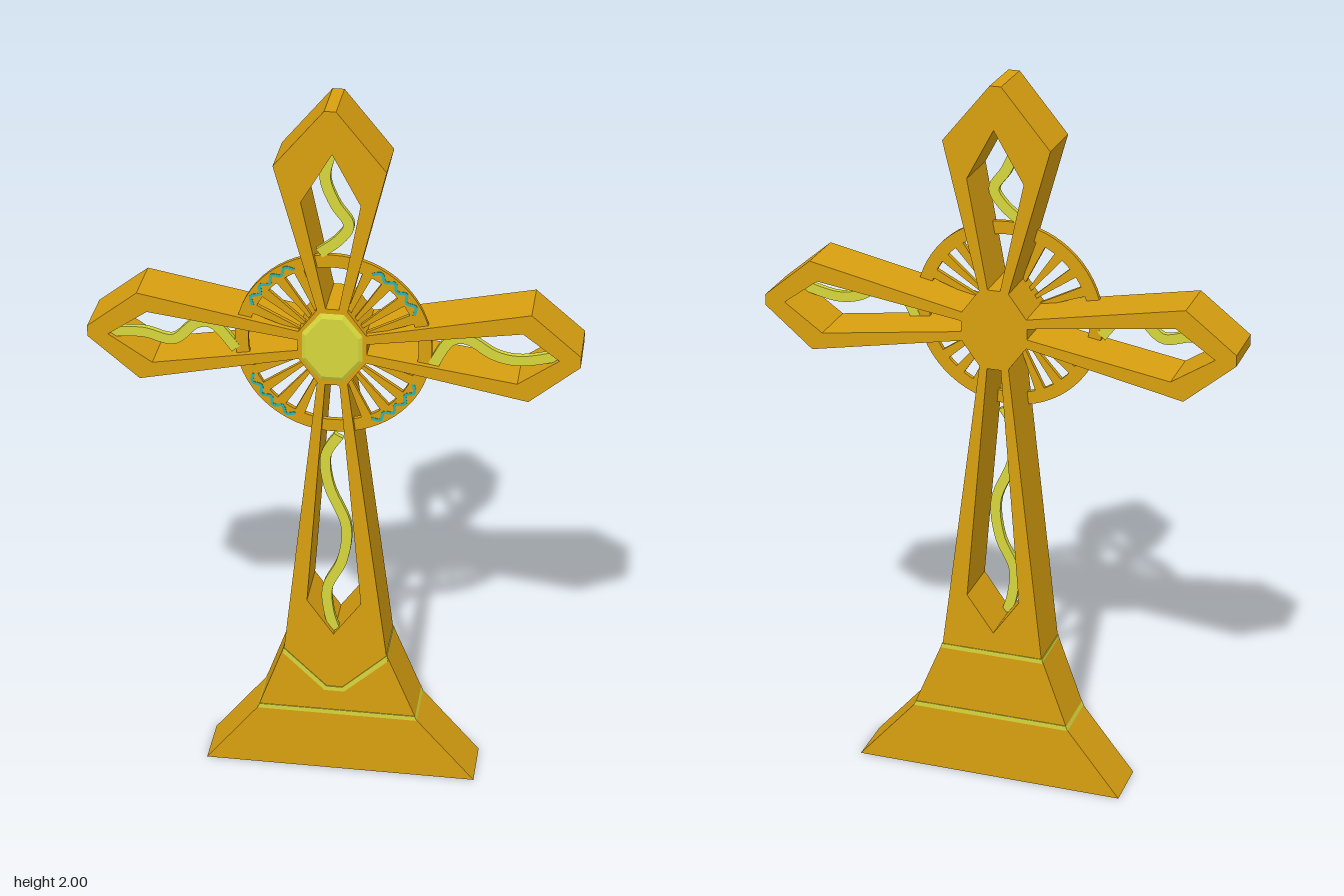
import * as THREE from 'three';

const gold = new THREE.MeshStandardMaterial({ color: 0xd9a010 });
const yellow = new THREE.MeshStandardMaterial({ color: 0xd6d63c });
const teal = new THREE.MeshStandardMaterial({ color: 0x2fb5b0 });

const HALF = 0.074; // half the depth of the body
const CY = 1.345; // height of the crossing
const vecs = (pts) => pts.map(([x, y]) => new THREE.Vector2(x, y));

export function createModel() {
  const group = new THREE.Group();

  // Extrude an outline (with optional holes) from z0 to z1
  function slab(name, outline, z0, z1, material, holes = []) {
    const shape = Array.isArray(outline) ? new THREE.Shape(vecs(outline)) : outline;
    for (const h of holes) shape.holes.push(new THREE.Path(vecs(h)));
    const geo = new THREE.ExtrudeGeometry(shape, { depth: z1 - z0, bevelEnabled: false, curveSegments: 32 });
    geo.translate(0, 0, z0);
    const mesh = new THREE.Mesh(geo, material);
    mesh.name = name;
    group.add(mesh);
    return mesh;
  }

  // Flat ribbon of constant width following a smooth curve
  function ribbon(name, pts, width, z0, z1, material) {
    const curve = new THREE.SplineCurve(vecs(pts));
    const a = [], b = [], n = 36;
    for (let i = 0; i <= n; i++) {
      const p = curve.getPoint(i / n), t = curve.getTangent(i / n);
      a.push([p.x - t.y * width / 2, p.y + t.x * width / 2]);
      b.unshift([p.x + t.y * width / 2, p.y - t.x * width / 2]);
    }
    slab(name, [...a, ...b], z0, z1, material);
  }

  // Cross body: four flared, pointed arms, each pierced by a kite-shaped opening
  slab('crossBody', [
    [-0.135, 0.395], [0.15, 0.395], [0.04, 1.24], [0.088, 1.305],
    [0.51, 1.225], [0.64, 1.335], [0.64, 1.365], [0.51, 1.475],
    [0.088, 1.385], [0.04, 1.45], [0.137, 1.845], [0.01, 2], [-0.02, 2],
    [-0.15, 1.845], [-0.04, 1.45], [-0.088, 1.385],
    [-0.51, 1.465], [-0.645, 1.36], [-0.645, 1.33], [-0.51, 1.215],
    [-0.088, 1.305], [-0.04, 1.24],
  ], -HALF, HALF, gold, [
    [[0.003, 0.455], [0.078, 0.56], [0.019, 1.235], [-0.019, 1.235], [-0.07, 0.56]],
    [[0, 1.885], [0.072, 1.75], [0.017, 1.455], [-0.017, 1.455], [-0.08, 1.75]],
    [[-0.59, 1.34], [-0.485, 1.412], [-0.09, 1.36], [-0.09, 1.33], [-0.475, 1.265]],
    [[0.585, 1.35], [0.49, 1.42], [0.09, 1.36], [0.09, 1.33], [0.48, 1.275]],
  ]);

  // Pedestal in two tiers
  slab('lowerBase', [[-0.36, 0], [0.4, 0], [0.235, 0.19], [-0.21, 0.19]], -HALF, HALF, gold);
  slab('upperBase', [[-0.207, 0.2], [0.232, 0.2], [0.152, 0.395], [-0.137, 0.395]], -HALF, HALF, gold);

  // Inlaid bands: straight round the sides, V-shaped on the front
  slab('lowerBand', [[-0.212, 0.188], [0.237, 0.188], [0.231, 0.202], [-0.206, 0.202]], -0.076, 0.076, yellow);
  slab('upperBand', [[-0.14, 0.385], [0.155, 0.385], [0.152, 0.398], [-0.137, 0.398]], -0.076, 0.07, yellow);
  slab('frontVBand', [
    [-0.137, 0.38], [-0.022, 0.267], [0.033, 0.267], [0.154, 0.38],
    [0.151, 0.398], [0.028, 0.281], [-0.016, 0.281], [-0.136, 0.398],
  ], 0.07, 0.0765, yellow);

  // Faceted hub plate on the crossing: a low eight-sided frustum
  const rim = [[0.033, 1.24], [0.086, 1.305], [0.086, 1.385], [0.033, 1.45],
    [-0.033, 1.45], [-0.086, 1.385], [-0.086, 1.305], [-0.033, 1.24]];
  const hub = slab('hubPlate', rim, 0.07, 0.08, yellow);
  const hp = hub.geometry.attributes.position;
  for (let i = 0; i < hp.count; i++) {
    if (hp.getZ(i) > 0.075) hp.setXY(i, hp.getX(i) * 0.8, CY + (hp.getY(i) - CY) * 0.8);
  }
  hub.geometry.computeVertexNormals();

  // Thin ring behind the front face
  const ring = new THREE.Shape();
  ring.absarc(0, CY, 0.257, 0, Math.PI * 2, false);
  const bore = new THREE.Path();
  bore.absarc(0, CY, 0.222, 0, Math.PI * 2, true);
  ring.holes.push(bore);
  slab('ring', ring, 0.046, 0.059, gold);

  // Tapered spokes and teal ring inlays, repeated in each quadrant
  const polar = (r, a) => [r * Math.cos(a), CY + r * Math.sin(a)];
  for (let q = 0; q < 4; q++) {
    const mid = Math.PI / 4 + q * Math.PI / 2;
    for (const off of [-0.38, -0.127, 0.127, 0.38]) {
      const a = mid + off;
      slab('spoke', [polar(0.09, a - 0.05), polar(0.225, a - 0.06), polar(0.225, a + 0.06), polar(0.09, a + 0.05)],
        0.046, 0.059, gold);
    }
    const zigzag = [];
    for (let i = 0; i <= 8; i++) zigzag.push(polar(i % 2 ? 0.247 : 0.232, mid + (i - 4) * 0.085));
    ribbon('ringInlay', zigzag, 0.008, 0.057, 0.0605, teal);
  }

  // Wavy vines inside the four openings
  const vines = [
    [[0.015, 1.075], [-0.02, 1.01], [-0.01, 0.915], [0.035, 0.8], [0.025, 0.69], [-0.015, 0.6], [-0.012, 0.52], [0.005, 0.46]],
    [[-0.005, 1.885], [-0.02, 1.815], [0.005, 1.745], [0.04, 1.69], [0.015, 1.645], [-0.035, 1.605]],
    [[-0.585, 1.34], [-0.5, 1.345], [-0.42, 1.33], [-0.36, 1.38], [-0.31, 1.38], [-0.255, 1.315]],
    [[0.26, 1.305], [0.3, 1.375], [0.35, 1.385], [0.42, 1.345], [0.49, 1.335], [0.58, 1.355]],
  ];
  for (const v of vines) ribbon('vine', v, 0.028, 0.045, 0.06, yellow);

  return group;
}
